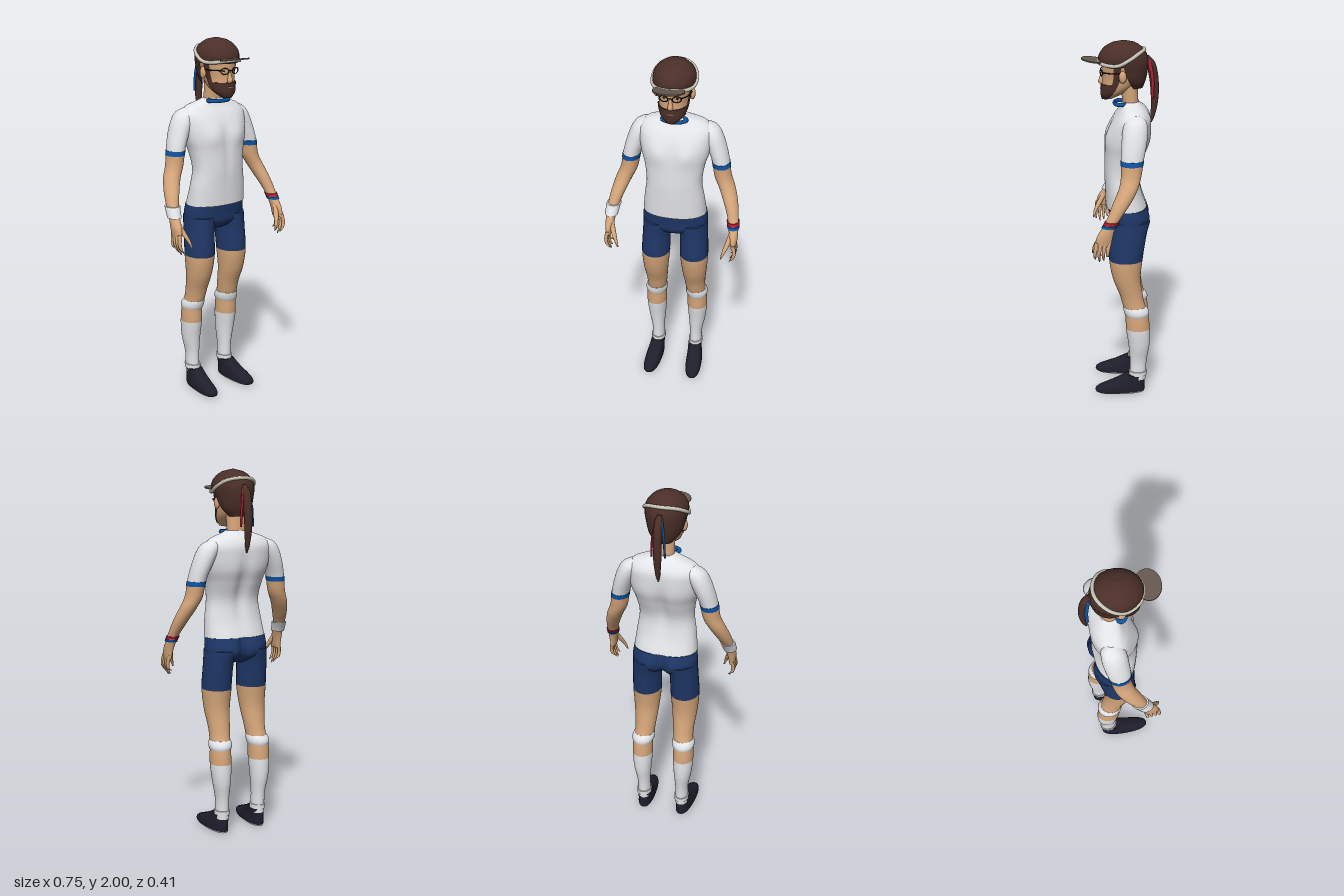
import * as THREE from 'three';

const colours = {
  skin: 0xd6a67a, whiteCloth: 0xe4e5e8, navyCloth: 0x1f3869, shoeLeather: 0x1f1e2c, hairBrown: 0x4b2f28,
  trimBlue: 0x0e56a6, ribbonRed: 0xb01c30, visorGrey: 0x665950, bandCream: 0xcac5b6, frameBlack: 0x141414,
};
const mats = {};
for (const [name, color] of Object.entries(colours)) {
  mats[name] = new THREE.MeshStandardMaterial({ color });
  mats[name].name = name;
}

// Smoothly interpolates a profile of rows [y, centreX, centreZ, radiusX, radiusZ], sorted by y.
function sample(rows, y) {
  let i = 0;
  while (i < rows.length - 2 && y > rows[i + 1][0]) i++;
  const a = rows[i], b = rows[i + 1], p = rows[i - 1] || a, n = rows[i + 2] || b;
  const h = b[0] - a[0], t = (y - a[0]) / h, t2 = t * t, t3 = t2 * t;
  return [1, 2, 3, 4].map((k) => {
    const m0 = (b[k] - p[k]) / (b[0] - p[0]) * h, m1 = (n[k] - a[k]) / (n[0] - a[0]) * h;
    return (2 * t3 - 3 * t2 + 1) * a[k] + (t3 - 2 * t2 + t) * m0 + (3 * t2 - 2 * t3) * b[k] + (t3 - t2) * m1;
  });
}

// Stacks oval rings along a profile between two heights and caps both ends.
function loft(name, mat, profile, o = {}) {
  const rows = [...profile].sort((a, b) => a[0] - b[0]);
  const { y0 = rows[0][0], y1 = rows.at(-1)[0], grow = 0, a0 = 0, a1 = Math.PI * 2, pow = 2, side = 1, seg = 32, bend } = o;
  const rings = Math.max(5, Math.ceil((y1 - y0) / 0.012));
  const closed = a1 - a0 > 6.28, cols = closed ? seg : seg + 1;
  const pos = [], index = [];
  const round = (v) => Math.sign(v) * Math.abs(v) ** (2 / pow);
  for (let i = 0; i <= rings; i++) {
    const y = y0 + (y1 - y0) * i / rings, [cx, cz, rx, rz] = sample(rows, y);
    for (let j = 0; j < cols; j++) {
      const a = a0 + (a1 - a0) * j / seg;
      const p = [side * cx + (Math.max(rx, 0.001) + grow) * round(Math.cos(a)), y,
        cz + (Math.max(rz, 0.001) + grow) * round(Math.sin(a))];
      if (bend) bend(p, cz);
      pos.push(...p);
    }
  }
  const quads = closed ? cols : cols - 1;
  for (let i = 0; i < rings; i++) for (let j = 0; j < quads; j++) {
    const a = i * cols + j, b = i * cols + (j + 1) % cols;
    index.push(a, a + cols, b, b, a + cols, b + cols);
  }
  for (const [ring, y, top] of [[0, y0, false], [rings, y1, true]]) {
    const base = pos.length / 3, [cx, cz] = sample(rows, y);
    pos.push(...pos.slice(ring * cols * 3, (ring + 1) * cols * 3), side * cx, y, cz);
    for (let j = 0; j < quads; j++) {
      const a = base + j, b = base + (j + 1) % cols;
      index.push(base + cols, top ? b : a, top ? a : b);
    }
  }
  const geo = new THREE.BufferGeometry();
  geo.setAttribute('position', new THREE.Float32BufferAttribute(pos, 3));
  geo.setIndex(index);
  geo.computeVertexNormals();
  return named(name, geo, mat);
}

function named(name, geo, mat) {
  const mesh = new THREE.Mesh(geo, mats[mat]);
  mesh.name = name;
  return mesh;
}
const bump = (v, c, w) => Math.exp(-(((v - c) / w) ** 2));

const torso = [[1.1, 0, -.033, .175, .113], [1.2, 0, -.016, .164, .1], [1.3, 0, -.01, .151, .098], [1.4, 0, -.027, .164, .112],
  [1.47, 0, -.043, .185, .12], [1.55, 0, -.056, .197, .112], [1.6, 0, -.066, .195, .097], [1.64, 0, -.068, .155, .07],
  [1.66, 0, -.06, .095, .054], [1.675, 0, -.055, .056, .047]];
const hips = [[.95, 0, -.045, .04, .04], [.97, 0, -.045, .1, .075], [1.0, 0, -.047, .168, .1], [1.04, 0, -.048, .181, .107], [1.1, 0, -.04, .175, .108]];
const leg = [[.08, .115, -.1, .035, .044], [.12, .115, -.1, .036, .045], [.2, .116, -.102, .037, .048], [.3, .121, -.105, .05, .06],
  [.4, .122, -.098, .058, .067], [.5, .12, -.09, .056, .063], [.54, .115, -.075, .056, .062], [.6, .112, -.06, .06, .064],
  [.7, .112, -.035, .071, .077], [.81, .11, -.03, .08, .092], [.95, .105, -.042, .079, .1], [1.03, .096, -.046, .084, .105]];
const arm = [[.98, .348, .095, .015, .042], [1.03, .346, .085, .023, .042], [1.08, .34, .062, .027, .034], [1.13, .332, .035, .031, .036],
  [1.2, .312, -.003, .039, .046], [1.27, .285, -.038, .045, .05], [1.33, .259, -.053, .047, .053], [1.42, .243, -.06, .048, .06],
  [1.5, .217, -.07, .054, .066], [1.57, .187, -.076, .058, .065], [1.61, .168, -.08, .048, .05], [1.63, .158, -.08, .015, .02]];
const shoe = [[0, .12, -.005, .041, .13], [.012, .12, .002, .047, .142], [.035, .12, -.002, .046, .138], [.055, .12, -.025, .044, .115],
  [.075, .118, -.05, .041, .088], [.108, .116, -.085, .039, .055]];
const head = [[1.69, 0, .068, .022, .024], [1.715, 0, .045, .053, .054], [1.75, 0, .018, .071, .08], [1.8, 0, -.004, .08, .1],
  [1.85, 0, -.01, .089, .109], [1.9, 0, -.015, .098, .115]];
const hair = [[1.75, 0, -.07, .05, .05], [1.79, 0, -.047, .083, .088], [1.85, 0, -.024, .103, .123], [1.9, 0, -.015, .112, .133],
  [1.94, 0, -.015, .104, .12], [1.97, 0, -.016, .08, .092], [1.99, 0, -.018, .048, .056], [2, 0, -.02, .006, .006]];

// Chest, spine and belly relief on the shirt.
function shirtRelief(p, cz) {
  const [x, y, z] = p, ax = Math.abs(x);
  if (z > cz) p[2] += .014 * bump(ax, .08, .055) * bump(y, 1.49, .06) - .008 * bump(x, 0, .02) * bump(y, 1.4, .15);
  else p[2] += .024 * bump(x, 0, .035) * bump(y, 1.38, .17);
}
function seatRelief(p, cz) {
  if (p[2] < cz) p[2] += .03 * bump(p[0], 0, .025) - .012 * bump(Math.abs(p[0]), .08, .05) * bump(p[1], 1.03, .05);
}

function buildLeg(side) {
  const g = new THREE.Group();
  g.name = side > 0 ? 'leftLeg' : 'rightLeg';
  const splay = (p) => { p[0] += side * .06 * (p[2] + .05); };
  g.add(
    loft('shortsLeg', 'navyCloth', leg, { side, y0: .81, bend: seatRelief }),
    loft('bareLeg', 'skin', leg, { side, y0: .4, y1: .81 }),
    loft('sock', 'whiteCloth', leg, { side, y1: .4 }),
    loft('sockCuff', 'whiteCloth', leg, { side, y0: .105, y1: .13, grow: .006 }),
    loft('kneeBand', 'whiteCloth', [[.48, 1], [.49, 6], [.505, 8], [.52, 6], [.532, 1]].map(([y, b]) => {
      const [x, z, rx, rz] = sample(leg, y);
      return [y, x, z, rx + b / 1000, rz + b / 1000];
    }), { side }),
    loft('shoe', 'shoeLeather', shoe, { side, y0: .008, pow: 2.4, bend: splay }),
    loft('sole', 'whiteCloth', shoe, { side, y1: .008, pow: 2.4, bend: splay }),
  );
  return g;
}

function buildArm(side) {
  const g = new THREE.Group();
  g.name = side > 0 ? 'leftArm' : 'rightArm';
  g.add(
    loft('sleeve', 'whiteCloth', arm, { side, y0: 1.412 }),
    loft('sleeveTrim', 'trimBlue', arm, { side, y0: 1.388, y1: 1.414, grow: .002 }),
    loft('forearmAndPalm', 'skin', arm, { side, y1: 1.388 }),
    loft('thumb', 'skin', [[1.06, .335, .085, .012, .014], [1.0, .318, .118, .014, .015], [.96, .302, .14, .01, .01], [.92, .288, .15, .004, .004]], { side, seg: 12 }),
  );
  // Four gently curled fingers
  for (let i = 0; i < 4; i++) {
    const z = .062 + i * .022, tip = [.912, .893, .885, .9][i];
    g.add(loft('finger', 'skin', [[1.0, .35, z, .011, .012], [.95, .358, z + .008, .0095, .0095],
      [.92, .35, z + .01, .008, .008], [tip, .333, z + .008, .003, .003]], { side, seg: 12 }));
  }
  if (side > 0) {
    g.add(loft('redBracelet', 'ribbonRed', arm, { side, y0: 1.095, y1: 1.11, grow: .006 }));
    g.add(loft('blueBracelet', 'trimBlue', arm, { side, y0: 1.078, y1: 1.091, grow: .006 }));
  } else g.add(loft('wristband', 'whiteCloth', arm, { side, y0: 1.082, y1: 1.138, grow: .009 }));
  return g;
}

function buildHead() {
  const g = new THREE.Group();
  g.name = 'head';
  const PI = Math.PI;
  g.add(
    loft('neck', 'skin', [[1.62, 0, -.055, .055, .045], [1.68, 0, -.054, .052, .043], [1.8, 0, -.04, .054, .05]]),
    loft('face', 'skin', head),
    loft('beard', 'hairBrown', head, { y0: 1.69, y1: 1.772, grow: .006, a0: .02 * PI, a1: .98 * PI }),
    loft('hairTop', 'hairBrown', hair, { y0: 1.872 }),
    loft('hairBack', 'hairBrown', hair, { y1: 1.875, a0: PI * 1.0, a1: PI * 2 }),
    loft('nose', 'skin', [[1.768, 0, .092, .012, .012], [1.78, 0, .1, .015, .018], [1.8, 0, .096, .011, .015], [1.84, 0, .088, .006, .012]], { seg: 16 }),
    loft('ponytail', 'hairBrown', [[1.92, 0, -.14, .012, .012], [1.88, 0, -.162, .021, .024], [1.78, 0, -.181, .022, .024],
      [1.68, 0, -.184, .02, .019], [1.6, 0, -.175, .012, .012], [1.56, 0, -.168, .003, .003]]),
  );
  // Ear, sideburn, lens rim, temple and eye on each side
  for (const s of [1, -1]) {
    const ear = named('ear', new THREE.SphereGeometry(1, 16, 12), 'skin');
    ear.scale.set(.014, .032, .02);
    ear.position.set(s * .095, 1.82, -.012);
    const rim = named('lensRim', new THREE.TorusGeometry(.023, .0028, 8, 28), 'frameBlack');
    rim.scale.y = .7;
    rim.position.set(s * .034, 1.833, .1);
    rim.rotation.y = s * .25;
    const eye = named('eye', new THREE.SphereGeometry(1, 12, 8), 'frameBlack');
    eye.scale.set(.008, .005, .004);
    eye.position.set(s * .034, 1.833, .089);
    const path = new THREE.CatmullRomCurve3([[.056, .094], [.082, .06], [.096, -.015]].map(([x, z]) => new THREE.Vector3(s * x, 1.838, z)));
    const burn = loft('sideburn', 'hairBrown', head, { y0: 1.77, y1: 1.88, grow: .006, seg: 8,
      a0: s > 0 ? .02 * PI : .87 * PI, a1: s > 0 ? .13 * PI : .98 * PI });
    const ribbon = loft('ribbon', s > 0 ? 'ribbonRed' : 'trimBlue',
      [[1.9, s * .014, -.152, .006, .009], [1.8, s * .03, -.17, .006, .009], [1.7, s * .036, -.17, .005, .008]], { seg: 10 });
    g.add(ear, rim, eye, named('temple', new THREE.TubeGeometry(path, 16, .003, 6), 'frameBlack'), burn, ribbon);
  }
  const bridge = named('bridge', new THREE.BoxGeometry(.024, .004, .004), 'frameBlack');
  bridge.position.set(0, 1.836, .105);
  const mouth = named('mouth', new THREE.SphereGeometry(1, 16, 8), 'skin');
  mouth.scale.set(.02, .005, .006);
  mouth.position.set(0, 1.745, .102);
  // Sweatband dips over the ears and climbs at the back
  const heights = new THREE.SplineCurve([[-.16, 1.955], [-.11, 1.94], [-.06, 1.91], [-.02, 1.882], [.05, 1.88], [.13, 1.89]].map(([z, y]) => new THREE.Vector2(z, y)));
  const ring = [];
  for (let i = 0; i < 32; i++) {
    const a = i / 32 * PI * 2, y = heights.getPoint((.14 + .13 * Math.sin(a)) / .28).y, [, cz, rx, rz] = sample(hair, y);
    ring.push(new THREE.Vector3((rx + .002) * Math.cos(a), y, cz + (rz + .002) * Math.sin(a)));
  }
  const band = named('sweatband', new THREE.TubeGeometry(new THREE.CatmullRomCurve3(ring, true), 96, .01, 10, true), 'bandCream');
  const visor = named('visor', new THREE.CylinderGeometry(1, 1, .007, 40), 'visorGrey');
  visor.scale.set(.083, 1, .066);
  visor.position.set(0, 1.896, .14);
  visor.rotation.x = -.14;
  g.add(bridge, mouth, band, visor);
  return g;
}

export function createModel() {
  const model = new THREE.Group();
  model.name = 'athlete';
  const collar = named('collar', new THREE.TorusGeometry(.063, .012, 10, 40).rotateX(Math.PI / 2).scale(1, .9, .57), 'trimBlue');
  collar.position.set(0, 1.667, -.002);
  model.add(
    loft('shirt', 'whiteCloth', torso, { seg: 64, pow: 2.3, bend: shirtRelief }),
    loft('shorts', 'navyCloth', hips, { seg: 64, pow: 2.3, bend: seatRelief }),
    collar, buildHead(),
  );
  for (const side of [1, -1]) model.add(buildArm(side), buildLeg(side));
  return model;
}
